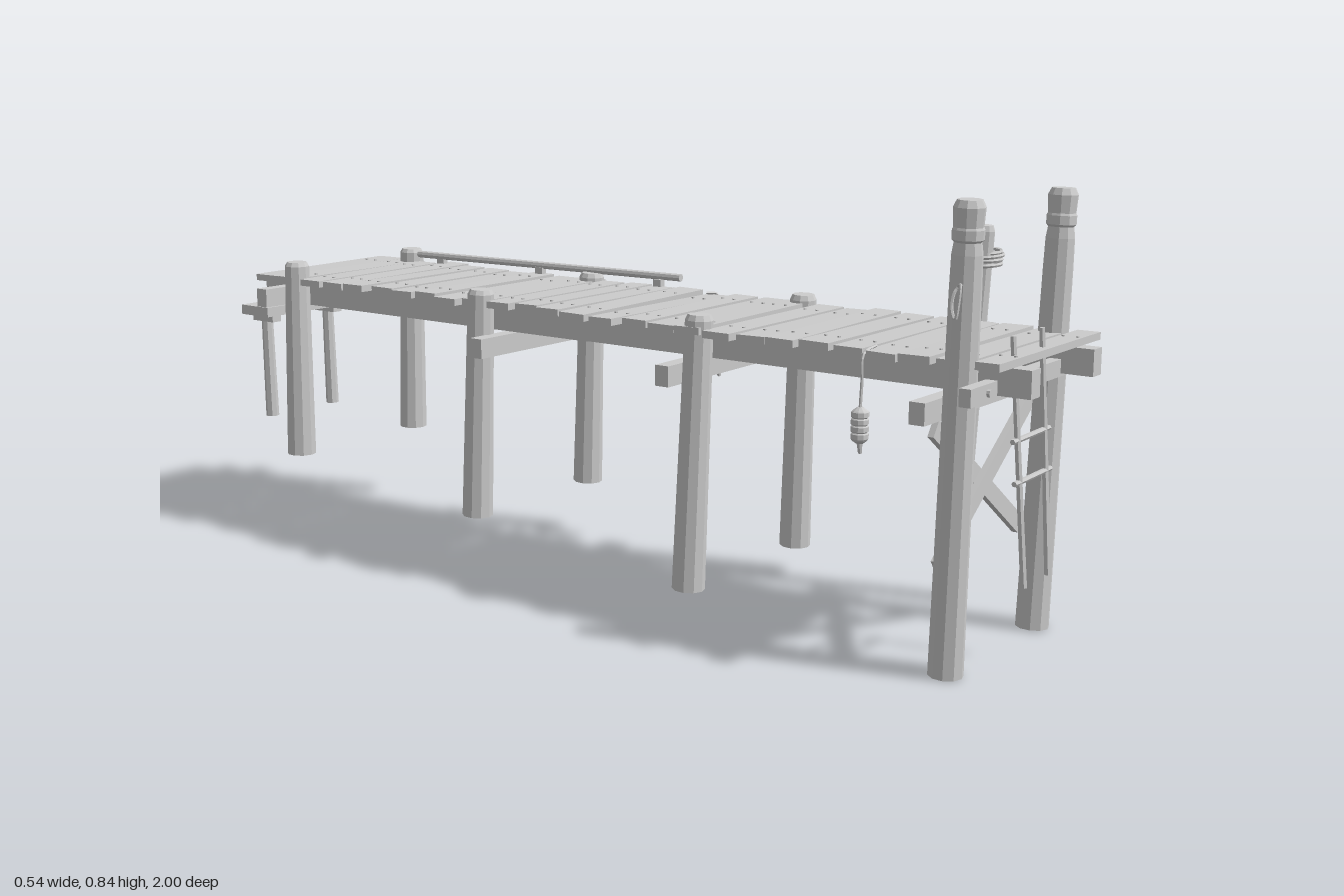
import * as THREE from 'three';

const V = (x, y, z) => new THREE.Vector3(x, y, z);
const UP = V(0, 1, 0);

export function createModel() {
  const dock = new THREE.Group();
  dock.name = 'dock';
  const wood = new THREE.MeshStandardMaterial({ color: 0xcccccc, flatShading: true });
  wood.name = 'weatheredGrey';

  let seed = 7;
  const jitter = (amount) => {
    seed = (seed * 16807) % 2147483647;
    return (seed / 2147483647 - 0.5) * 2 * amount;
  };

  const add = (name, geometry, parent = dock) => {
    const mesh = new THREE.Mesh(geometry, wood);
    mesh.name = name;
    parent.add(mesh);
    return mesh;
  };
  const box = (name, w, h, d, x, y, z, parent) => {
    const mesh = add(name, new THREE.BoxGeometry(w, h, d), parent);
    mesh.position.set(x, y, z);
    return mesh;
  };
  // Turned shape along a -> b; profile rows are [radius, fraction of length]
  const turned = (name, a, b, profile, sides = 10, parent) => {
    const dir = b.clone().sub(a);
    const len = dir.length();
    const pts = [new THREE.Vector2(0, 0), ...profile.map(([r, t]) => new THREE.Vector2(r, t * len)), new THREE.Vector2(0, len)];
    const mesh = add(name, new THREE.LatheGeometry(pts, sides), parent);
    mesh.position.copy(a);
    mesh.quaternion.setFromUnitVectors(UP, dir.normalize());
    return mesh;
  };
  const rod = (name, a, b, r0, r1 = r0, sides = 8, parent) => turned(name, a, b, [[r0, 0], [r1, 1]], sides, parent);
  const rope = (name, points, r, closed = false) =>
    add(name, new THREE.TubeGeometry(new THREE.CatmullRomCurve3(points, closed), points.length * 4, r, 5, closed));

  // Tall front piles with a bound neck and cap
  const tallProfile = [[0.032, 0], [0.028, 0.82], [0.027, 0.89], [0.024, 0.915], [0.028, 0.92], [0.028, 0.94], [0.026, 0.945], [0.028, 0.985], [0.022, 1]];
  turned('frontPileRight', V(-0.198, 0, 0.87), V(-0.216, 0.84, 0.895), tallProfile);
  turned('frontPileLeft', V(0.142, 0, 0.875), V(0.166, 0.832, 0.89), tallProfile);

  // Shorter piles under the deck, in pairs
  [[0.33, 0.345, 0.06, 0.593], [-0.215, -0.2, 0.115, 0.592], [-0.75, -0.745, 0.17, 0.605]].forEach(([z0, z1, y0, y1], i) => {
    const out = [0.01, 0.004, 0][i];
    const profile = [[0.032, 0], [0.027, 0.98], [0.022, 1]];
    turned('deckPileRight', V(-0.209 - out, y0, z0), V(-0.21, y1, z1), profile);
    turned('deckPileLeft', V(0.153 + out, y0, z0), V(0.155, y1 - 0.005, z1), profile);
  });

  // Cross beams
  [[0.835, 0.475], [0.3, 0.48], [-0.165, 0.48], [-0.8, 0.525]].forEach(([z, y]) =>
    box('crossBeam', 0.475, 0.04, 0.03, -0.03, y, z).rotateZ(jitter(0.006)));
  box('frontBeam', 0.485, 0.032, 0.022, -0.028, 0.515, 0.925);
  for (const x of [-0.207, 0.155]) rod('beamBolt', V(x, 0.515, 0.93), V(x, 0.515, 0.942), 0.007);

  // Stringers, each made of two lengths
  for (const x of [-0.155, 0.1]) {
    box('frontStringer', 0.034, 0.05, 0.95, x, 0.53, 0.523);
    box('rearStringer', 0.034, 0.052, 0.94, x, 0.53, -0.42);
  }

  // Deck planks with nails
  const deck = new THREE.Group();
  deck.name = 'deck';
  dock.add(deck);
  const count = 27;
  for (let i = 0; i < count; i++) {
    const plank = new THREE.Group();
    plank.name = 'plank';
    const first = i === 0, last = i === count - 1;
    plank.position.set(-0.026 + jitter(0.011), 0.5625 + jitter(0.003), first ? -0.83 : -0.828 + i * 0.0682);
    plank.rotation.set(jitter(0.02), jitter(0.014), jitter(0.005));
    box('plankBoard', last ? 0.42 : 0.395 + jitter(0.02), 0.014, first ? 0.08 : last ? 0.045 : 0.058 + jitter(0.004), 0, 0, 0, plank);
    for (const x of [-0.13, 0.126]) for (const z of [-0.014, 0.014])
      rod('nail', V(x, 0.006, z), V(x, 0.0095, z), 0.0035, 0.0035, 6, plank);
    deck.add(plank);
  }

  // Pole lying along the deck edge on small blocks
  rod('edgePole', V(0.163, 0.594, 0.035), V(0.155, 0.588, -0.735), 0.008);
  for (const z of [-0.02, -0.35, -0.65]) box('poleBlock', 0.014, 0.02, 0.02, 0.158, 0.577, z);

  // Diagonal braces between the front piles
  [[1, 0.846], [-1, 0.832]].forEach(([s, z]) => {
    box('diagonalBrace', 0.43, 0.034, 0.012, -0.024, 0.315, z).rotation.z = s * 0.615;
  });

  // Ladder
  const ladder = new THREE.Group();
  ladder.name = 'ladder';
  dock.add(ladder);
  rod('ladderRail', V(-0.135, 0.165, 0.982), V(-0.144, 0.605, 0.948), 0.0065, 0.0055, 6, ladder);
  rod('ladderRail', V(-0.038, 0.165, 0.982), V(-0.03, 0.605, 0.948), 0.0065, 0.0055, 6, ladder);
  for (const [y, z] of [[0.352, 0.968], [0.425, 0.962]])
    rod('ladderRung', V(-0.16, y, z), V(-0.015, y + 0.001, z), 0.005, 0.005, 6, ladder);

  // Mooring post with two coils of rope
  turned('mooringPost', V(0.203, 0.015, 0.672), V(0.21, 0.748, 0.714), [[0.024, 0], [0.02, 0.985], [0.016, 1]]);
  for (const [y, z] of [[0.683, 0.71], [0.538, 0.702]]) {
    for (let i = 0; i < 4; i++) {
      const ring = add('ropeCoil', new THREE.TorusGeometry(0.036, 0.004, 5, 20));
      ring.scale.set(1.08, 0.75, 1);
      ring.rotation.set(Math.PI / 2 + jitter(0.06), jitter(0.04), 0);
      ring.position.set(0.227 + jitter(0.004), y - 0.012 + i * 0.008, z + jitter(0.003));
    }
  }

  // Hanging ribbed fenders
  const fender = (x, z, yTop, yBottom, r, knot) => {
    const profile = [[r * 0.4, 0], [r * 0.85, 0.08]];
    for (let i = 0; i < 4; i++) {
      const t = 0.14 + i * 0.2;
      profile.push([r, t], [r, t + 0.13], [r * 0.86, t + 0.165]);
    }
    profile.push([r * 0.35, 1]);
    turned('fender', V(x, yBottom, z), V(x, yTop, z), profile);
    rope('fenderRope', [V(x, yTop - 0.005, z), V(x - knot * 0.004, (yTop + 0.56) / 2, z), V(x - knot * 0.006, 0.562, z), V(x - knot * 0.05, 0.572, z)], 0.003);
    rod('fenderTail', V(x + 0.003, yBottom - 0.018, z), V(x, yBottom + 0.004, z), 0.004, 0.006, 6);
  };
  fender(0.19, 0.115, 0.515, 0.405, 0.02, 1);
  fender(-0.249, 0.715, 0.47, 0.405, 0.016, -1);

  // Rope loop on the front pile
  rope('pileRopeLoop', [V(-0.238, 0.695, 0.89), V(-0.25, 0.7, 0.9), V(-0.255, 0.67, 0.9), V(-0.256, 0.642, 0.895), V(-0.25, 0.66, 0.885), V(-0.243, 0.685, 0.885)], 0.003, true);

  // Detached step behind the deck
  const step = new THREE.Group();
  step.name = 'rearStep';
  dock.add(step);
  box('stepBoard', 0.265, 0.022, 0.088, -0.022, 0.468, -0.954, step);
  for (const x of [-0.118, 0.075]) {
    box('stepBearer', 0.026, 0.016, 0.066, x, 0.449, -0.953, step);
    rod('stepLeg', V(x + 0.002, 0.215, -0.948), V(x, 0.45, -0.953), 0.015, 0.013, 8, step);
    for (const z of [-0.97, -0.938]) rod('stepNail', V(x, 0.478, z), V(x, 0.482, z), 0.0035, 0.0035, 6, step);
  }
  return dock;
}
